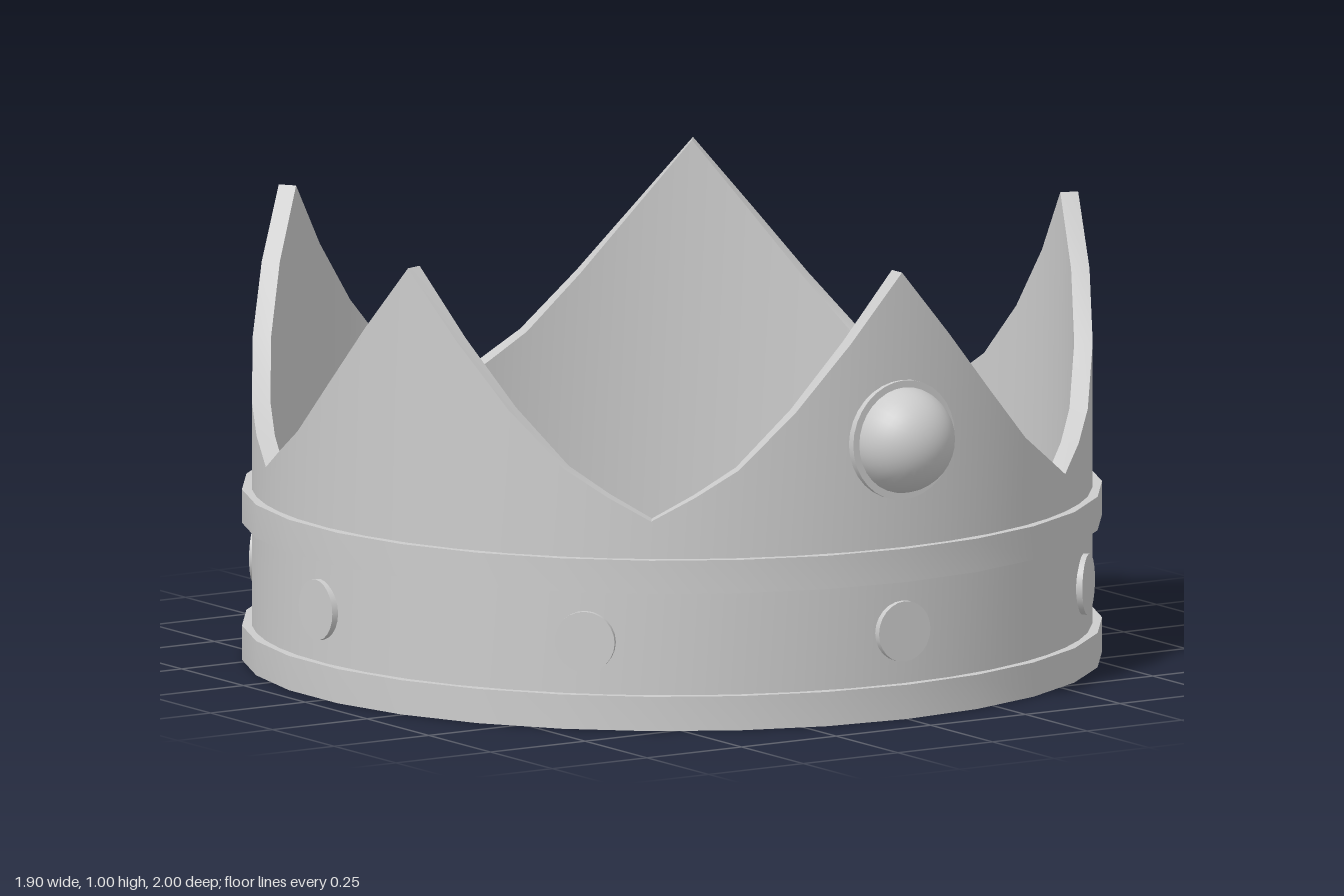
import * as THREE from 'three';
import { toCreasedNormals } from 'three/addons/utils/BufferGeometryUtils.js';

const CZ = -0.047; // centre of the ring; the front jewel reaches further forward
const OUTER = 0.931, INNER = 0.89;
const SPIKES = 5, GEMS = 8;
const mat = new THREE.MeshStandardMaterial({ color: 0xcccccc });

function add(parent, name, geometry) {
  const mesh = new THREE.Mesh(geometry, mat);
  mesh.name = name;
  parent.add(mesh);
  return mesh;
}

// Ring wall whose top edge rises into spikes
function wallGeometry() {
  // [degrees from the spike tip, height of the edge]
  const half = [[0, 1], [8, 0.85], [16, 0.705], [24, 0.58], [30, 0.52]];
  const spike = [...half, [36, 0.467], ...half.slice(1).reverse().map(([a, y]) => [72 - a, y])];
  const pos = [], index = [];
  for (let s = 0; s < SPIKES; s++) {
    for (const [deg, y] of spike) {
      const a = THREE.MathUtils.degToRad(deg + s * 360 / SPIKES);
      for (const [r, h] of [[OUTER, 0], [OUTER, y], [INNER, y], [INNER, 0]]) {
        pos.push(r * Math.sin(a), h, r * Math.cos(a));
      }
    }
  }
  const n = pos.length / 12;
  for (let i = 0; i < n; i++) {
    const p = i * 4, q = ((i + 1) % n) * 4;
    for (let k = 0; k < 4; k++) {
      const l = (k + 1) % 4;
      index.push(p + k, q + k, q + l, p + k, q + l, p + l);
    }
  }
  const g = new THREE.BufferGeometry();
  g.setAttribute('position', new THREE.Float32BufferAttribute(pos, 3));
  g.setIndex(index);
  return toCreasedNormals(g, 0.5);
}

// Raised hoop with a rectangular section
function bandGeometry(y0, y1) {
  const r0 = 0.9, r1 = 0.953;
  const profile = [[r1, y0], [r1, y1], [r0, y1], [r0, y0], [r1, y0]].map(p => new THREE.Vector2(...p));
  return toCreasedNormals(new THREE.LatheGeometry(profile, 30), 0.5);
}

export function createModel() {
  const crown = new THREE.Group();
  crown.name = 'crown';
  const ring = new THREE.Group();
  ring.name = 'ring';
  ring.position.z = CZ;
  crown.add(ring);

  add(ring, 'spikedWall', wallGeometry());
  add(ring, 'lowerBand', bandGeometry(0, 0.077));
  add(ring, 'upperBand', bandGeometry(0.308, 0.383));

  // Flat round studs between the bands
  const studGeometry = new THREE.CylinderGeometry(0.068, 0.068, 0.03, 24).rotateX(Math.PI / 2);
  for (let i = 0; i < GEMS; i++) {
    const a = i * Math.PI * 2 / GEMS;
    const stud = add(ring, 'stud' + (i + 1), studGeometry);
    stud.position.set(Math.sin(a) * 0.927, 0.195, Math.cos(a) * 0.927);
    stud.rotation.y = a;
  }

  // Large jewel on the front spike, in a round setting
  const setting = add(crown, 'jewelSetting', new THREE.CylinderGeometry(0.134, 0.134, 0.03, 32).rotateX(Math.PI / 2));
  setting.position.set(0, 0.625, 0.877);
  const dome = new THREE.SphereGeometry(0.119, 32, 12, 0, Math.PI * 2, 0, Math.PI / 2).rotateX(Math.PI / 2);
  add(crown, 'frontJewel', dome).position.set(0, 0.625, 0.881);

  return crown;
}
